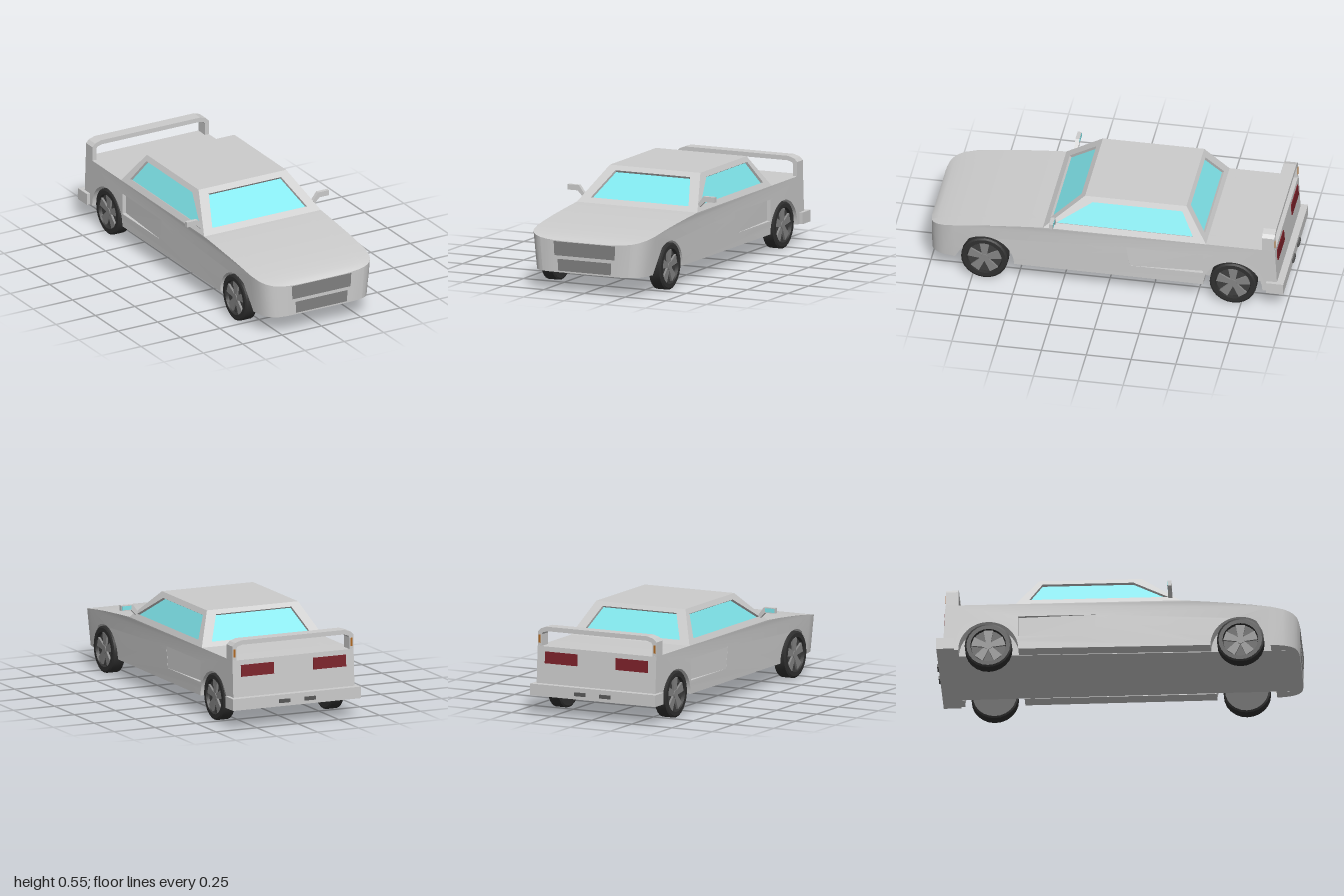
import * as THREE from 'three';
import { toCreasedNormals } from 'three/addons/utils/BufferGeometryUtils.js';

const mat = (color, side = THREE.FrontSide) => new THREE.MeshStandardMaterial({ color, side });
const GREY = mat(0xcccccc), GLASS = mat(0x80e6ec), DARK = mat(0x808080), TYRE = mat(0x303030);
const HUB = mat(0x404040), SPOKE = mat(0x858585), RED = mat(0x7a2028), AMBER = mat(0xb06820), PIPE = mat(0x585858);

const HALF = 0.37, FLOOR = 0.105, DECK = 0.375, ARCH = 0.165, INNER = 0.285;
const WHEEL_Z = [-0.705, 0.682], WHEEL_R = 0.13;

function add(parent, name, geometry, material, x = 0, y = 0, z = 0) {
  const mesh = new THREE.Mesh(geometry, material);
  mesh.name = name;
  mesh.position.set(x, y, z);
  parent.add(mesh);
  return mesh;
}

// Flat quads, corners counter-clockwise from outside
function quadGeometry(quads) {
  const pos = quads.flatMap(([a, b, c, d]) => [a, b, c, a, c, d].flat());
  const g = new THREE.BufferGeometry();
  g.setAttribute('position', new THREE.Float32BufferAttribute(pos, 3));
  g.computeVertexNormals();
  return g;
}

const shapeOf = pts => new THREE.Shape(pts.map(p => new THREE.Vector2(...p)));
const hoodY = z => 0.28 + (DECK - 0.28) * Math.sqrt(Math.max(0, 1 - Math.max(0, (z - 0.36) / 0.64)));

// Rounds the nose in plan, lets the hood follow, and tucks in the lower front sides
function warp(geometry) {
  const p = geometry.attributes.position;
  for (let i = 0; i < p.count; i++) {
    let x = p.getX(i), y = p.getY(i), z = p.getZ(i);
    const u = Math.min(1, Math.abs(x) / HALF);
    const onHood = y > 0.279 && z > 0.36;
    if (z > 0.85) z = 0.85 + (z - 0.85) * Math.sqrt(1 - u ** 8);
    if (onHood) y = hoodY(z);
    const taper = THREE.MathUtils.clamp((z - 0.33) / 0.6, 0, 1) * (DECK - y) / (DECK - FLOOR);
    p.setXYZ(i, x * (1 - 0.08 * taper), y, z);
  }
  geometry.computeVertexNormals();
  return geometry;
}

// Side outline of the lower body in (z, y)
function bodyShape(arches) {
  const s = new THREE.Shape();
  s.moveTo(-0.955, FLOOR);
  if (arches) {
    for (const z of WHEEL_Z) {
      s.lineTo(z - ARCH, FLOOR);
      s.absarc(z, FLOOR, ARCH, Math.PI, 0, true);
    }
  }
  s.lineTo(1, FLOOR);
  for (const z of [1, 0.985, 0.96, 0.92, 0.85, 0.75, 0.65, 0.5, 0.36]) s.lineTo(z, hoodY(z));
  s.lineTo(-0.94, DECK);
  return s;
}

function bodyStrip(shape, x0, x1, steps) {
  const g = new THREE.ExtrudeGeometry(shape, { depth: x1 - x0, steps, bevelEnabled: false, curveSegments: 14 });
  g.rotateY(-Math.PI / 2).translate(x1, 0, 0);
  return toCreasedNormals(warp(g), 0.5);
}

// A framed wall with a recessed pane
function windowWall(parent, name, outer, inner) {
  const v = outer.map(p => new THREE.Vector3(...p));
  const n = v[1].clone().sub(v[0]).cross(v[3].clone().sub(v[0])).normalize().multiplyScalar(-0.015);
  const pane = inner.map(p => [p[0] + n.x, p[1] + n.y, p[2] + n.z]);
  const quads = [];
  for (let i = 0; i < 4; i++) {
    const j = (i + 1) % 4;
    quads.push([outer[i], outer[j], inner[j], inner[i]], [inner[i], inner[j], pane[j], pane[i]]);
  }
  add(parent, name + 'Frame', quadGeometry(quads), GREY);
  add(parent, name + 'Glass', quadGeometry([pane]), GLASS);
}

function buildCabin() {
  const cabin = new THREE.Group();
  cabin.name = 'cabin';
  const B = DECK, T = 0.553, TX = 0.278, F0 = 0.355, F1 = 0.135, R0 = -0.555, R1 = -0.43;
  const mix = (a, b, y) => a + (b - a) * (y - B) / (T - B);
  const ends = (z0, z1, s) => [
    [[-s * HALF, B, z0], [s * HALF, B, z0], [s * TX, T, z1], [-s * TX, T, z1]],
    [[-0.3, 0.4], [0.3, 0.4], [0.23, 0.53], [-0.23, 0.53]].map(([x, y]) => [s * x, y, mix(z0, z1, y)])];
  windowWall(cabin, 'windscreen', ...ends(F0, F1, 1));
  windowWall(cabin, 'rearWindow', ...ends(R0, R1, -1));
  const outer = [[HALF, B, F0], [HALF, B, R0], [TX, T, R1], [TX, T, F1]];
  const inner = [[0.285, 0.405], [-0.48, 0.405], [-0.41, 0.525], [0.09, 0.525]].map(([z, y]) => [mix(HALF, TX, y), y, z]);
  const flip = pts => pts.map(([x, y, z]) => [-x, y, z]).reverse();
  windowWall(cabin, 'leftWindow', outer, inner);
  windowWall(cabin, 'rightWindow', flip(outer), flip(inner));
  add(cabin, 'roof', quadGeometry([[[-TX, T, F1], [TX, T, F1], [TX, T, R1], [-TX, T, R1]]]), GREY);
  return cabin;
}

function buildWheel() {
  const wheel = new THREE.Group();
  wheel.name = 'wheel';
  const profile = [[0, -0.0375], [0.12, -0.0375], [WHEEL_R, -0.032], [WHEEL_R, 0.032], [0.12, 0.0375], [0.098, 0.0375], [0.095, 0.018], [0.094, 0.018]];
  const tyre = new THREE.LatheGeometry(profile.map(p => new THREE.Vector2(...p)), 24).rotateZ(-Math.PI / 2);
  add(wheel, 'tyre', toCreasedNormals(tyre, 0.5), TYRE);
  add(wheel, 'rim', new THREE.CircleGeometry(0.096, 24).rotateY(Math.PI / 2), HUB, 0.018);
  const spoke = new THREE.ExtrudeGeometry(shapeOf([[-0.012, 0.01], [0.012, 0.01], [0.027, 0.091], [-0.027, 0.091]]), { depth: 0.012, bevelEnabled: false });
  spoke.rotateY(Math.PI / 2);
  for (let i = 0; i < 5; i++) add(wheel, 'spoke', spoke, SPOKE, 0.018).rotation.x = i * Math.PI * 2 / 5;
  add(wheel, 'hubCap', new THREE.CylinderGeometry(0.022, 0.022, 0.016, 16).rotateZ(Math.PI / 2), SPOKE, 0.026);
  return wheel;
}

export function createModel() {
  const car = new THREE.Group();
  car.name = 'car';

  // Lower body: solid core plus side strips with wheel arches and a side scoop
  add(car, 'bodyCore', bodyStrip(bodyShape(false), -INNER, INNER, 14), GREY);
  const side = bodyShape(true);
  const scoop = [[-0.11, 0.3], [-0.54, 0.3], [-0.54, 0.18], [-0.13, 0.18]];
  side.holes.push(new THREE.Path(scoop.map(p => new THREE.Vector2(...p))));
  const scoopFloor = mat(0xcccccc, THREE.DoubleSide);
  for (const s of [1, -1]) {
    add(car, 'bodySide', bodyStrip(side, s > 0 ? INNER : -HALF, s > 0 ? HALF : -INNER, 9), GREY);
    const floor = scoop.map(([z, y]) => [s * (z < -0.5 ? HALF - 0.022 : HALF - 0.001), y, z]);
    add(car, 'sideScoop', quadGeometry([s > 0 ? floor.reverse() : floor]), scoopFloor);
  }
  car.add(buildCabin());

  // Grilles and headlights follow the curve of the nose
  const nosePatch = (name, w, h, x, y, material) => {
    const g = new THREE.PlaneGeometry(w, h, 8, 1).translate(x, y, 1);
    add(car, name, warp(g), material, 0, 0, 0.0015);
  };
  nosePatch('upperGrille', 0.39, 0.078, 0, 0.238, DARK);
  nosePatch('lowerGrille', 0.35, 0.066, 0, 0.147, DARK);
  for (const s of [1, -1]) nosePatch('headlight', 0.04, 0.076, s * 0.322, 0.238, GREY);

  // Wheels
  for (const z of WHEEL_Z) {
    for (const s of [1, -1]) {
      const wheel = buildWheel();
      wheel.position.set(s * 0.333, WHEEL_R, z);
      if (s < 0) wheel.rotation.y = Math.PI;
      car.add(wheel);
    }
  }

  // Spoiler: one hoop across the tail
  const hoop = [[0.37, DECK], [0.37, 0.455], [0.352, 0.473], [0.315, 0.485]];
  const inside = [[0.31, 0.46], [0.338, 0.452], [0.345, 0.44], [0.345, DECK]];
  const half = [...hoop, ...hoop.map(([x, y]) => [-x, y]).reverse(), ...inside.map(([x, y]) => [-x, y]).reverse(), ...inside];
  add(car, 'spoiler', new THREE.ExtrudeGeometry(shapeOf(half), { depth: 0.07, bevelEnabled: false }), GREY, 0, 0, -0.938);

  // Rear bumper, lamps, exhausts and door mirrors
  add(car, 'rearBumper', new THREE.BoxGeometry(0.78, 0.065, 0.097), GREY, 0, 0.1375, -0.9415);
  const mirror = shapeOf([[0.452, 0.428], [0.452, 0.458], [0.382, 0.458], [0.35, 0.415], [0.358, 0.395], [0.39, 0.428]]);
  for (const s of [1, -1]) {
    add(car, 'tailLight', new THREE.BoxGeometry(0.2, 0.065, 0.012), RED, s * 0.22, 0.315, -0.943).rotation.x = 0.073;
    add(car, 'rearMarker', new THREE.BoxGeometry(0.012, 0.045, 0.006), AMBER, s * 0.358, 0.415, -0.938);
    add(car, 'exhaust', new THREE.BoxGeometry(0.065, 0.02, 0.03), PIPE, s * 0.078, 0.135, -0.985);
    const m = new THREE.Group();
    m.name = 'doorMirror';
    add(m, 'mirrorHousing', new THREE.ExtrudeGeometry(mirror, { depth: 0.022, bevelEnabled: false }), GREY);
    add(m, 'mirrorGlass', new THREE.BoxGeometry(0.056, 0.022, 0.002), GLASS, 0.42, 0.443, -0.0005);
    m.position.z = s > 0 ? 0.285 : 0.307;
    if (s < 0) {
      m.rotation.y = Math.PI;
      m.children[1].position.z = 0.0225;
    }
    car.add(m);
  }
  return car;
}
